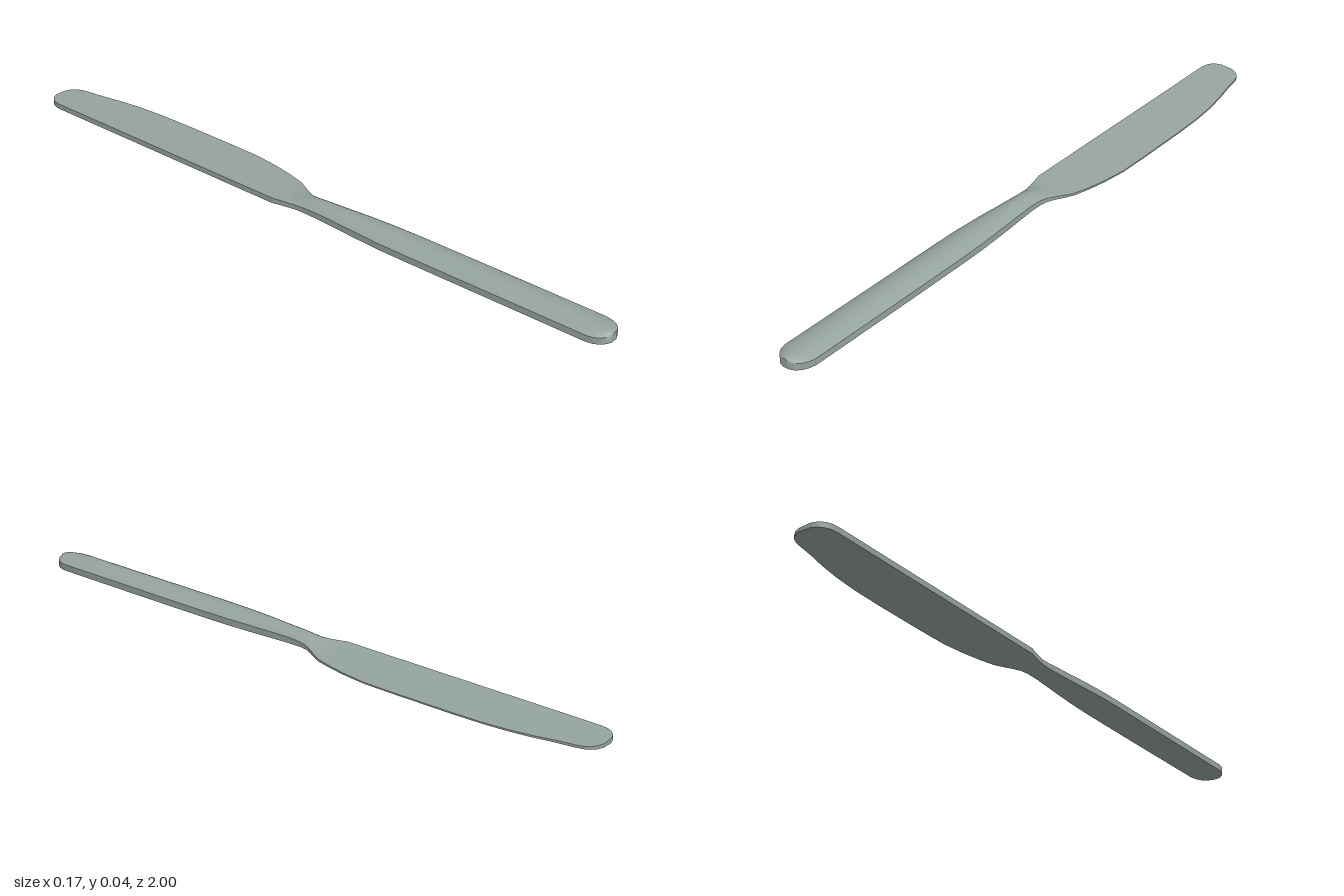
import * as THREE from 'three';
import { toCreasedNormals } from 'three/addons/utils/BufferGeometryUtils.js';

const STEPS = 10; // divisions across the upper surface

// Loft flat-bottomed sections [z, xLeft, xRight, heightLeft, heightRight, crown]
// ordered by rising z; the upper surface is domed by crown.
function loft(sections, capStart, capEnd) {
  const pos = [], index = [], n = STEPS + 3;
  for (const [z, x0, x1, h0, h1, crown] of sections) {
    pos.push(x0, 0, z);
    for (let k = 0; k <= STEPS; k++) {
      const u = (1 - Math.cos((Math.PI * k) / STEPS)) / 2;
      const dome = 1 - (2 * u - 1) ** 2;
      pos.push(x0 + (x1 - x0) * u, h0 + (h1 - h0) * u + crown * dome, z);
    }
    pos.push(x1, 0, z);
  }
  for (let i = 0; i < sections.length - 1; i++) {
    for (let j = 0; j < n; j++) {
      const a = i * n + j, b = i * n + (j + 1) % n;
      index.push(a, a + n, b, b, a + n, b + n);
    }
  }
  const last = (sections.length - 1) * n;
  for (let j = 1; j < n - 1; j++) {
    if (capStart) index.push(0, j, j + 1);
    if (capEnd) index.push(last, last + j + 1, last + j);
  }
  const geo = new THREE.BufferGeometry();
  geo.setAttribute('position', new THREE.Float32BufferAttribute(pos, 3));
  geo.setIndex(index);
  return toCreasedNormals(geo, 0.65);
}

// Blade section: the top slopes from the thick spine to the thin edge
const bladeTop = (x) => 0.0105 - 0.077 * x;
const bladeSection = (z, x0, x1) => [z, x0, x1, bladeTop(x0), bladeTop(x1), 0];

export function createModel() {
  const steel = new THREE.MeshStandardMaterial({ color: 0x95a3a0 });
  steel.name = 'steel';
  const group = new THREE.Group();
  group.name = 'tableKnife';
  const add = (name, geo) => {
    const mesh = new THREE.Mesh(geo, steel);
    mesh.name = name;
    group.add(mesh);
  };

  // Blade with rounded tip and curved cutting edge
  add('blade', loft([
    [-1, -0.045, -0.01],
    [-0.993, -0.062, 0.009],
    [-0.98, -0.075, 0.024],
    [-0.965, -0.082, 0.032],
    [-0.945, -0.085, 0.037],
    [-0.89, -0.085, 0.046],
    [-0.83, -0.085, 0.059],
    [-0.76, -0.085, 0.070],
    [-0.68, -0.085, 0.077],
    [-0.58, -0.085, 0.080],
    [-0.40, -0.085, 0.081],
    [-0.29, -0.085, 0.080],
    [-0.21, -0.085, 0.070],
    [-0.15, -0.085, 0.058],
    [-0.10, -0.085, 0.045],
  ].map((s) => bladeSection(...s)), true, false));

  // Domed handle, with the neck running down into the blade
  add('handle', loft([
    bladeSection(-0.10, -0.085, 0.045),
    [-0.075, -0.079, 0.032, 0.0155, 0.0085, 0.001],
    [-0.05, -0.074, 0.017, 0.015, 0.010, 0.004],
    [-0.025, -0.070, 0.005, 0.015, 0.012, 0.010],
    [0, -0.069, 0.001, 0.016, 0.015, 0.0145],
    [0.04, -0.070, 0.001, 0.018, 0.018, 0.0155],
    [0.10, -0.073, 0.005, 0.019, 0.019, 0.016],
    [0.18, -0.079, 0.011, 0.02, 0.02, 0.0165],
    [0.27, -0.084, 0.016, 0.02, 0.02, 0.017],
    [0.36, -0.085, 0.018, 0.02, 0.02, 0.0175],
    [0.60, -0.085, 0.019, 0.02, 0.02, 0.0175],
    [0.945, -0.085, 0.019, 0.02, 0.02, 0.014],
    [0.965, -0.081, 0.014, 0.02, 0.02, 0.0135],
    [0.982, -0.071, 0.005, 0.021, 0.021, 0.012],
    [0.994, -0.058, -0.009, 0.022, 0.022, 0.009],
    [1, -0.043, -0.024, 0.024, 0.024, 0.004],
  ], false, true));

  return group;
}
